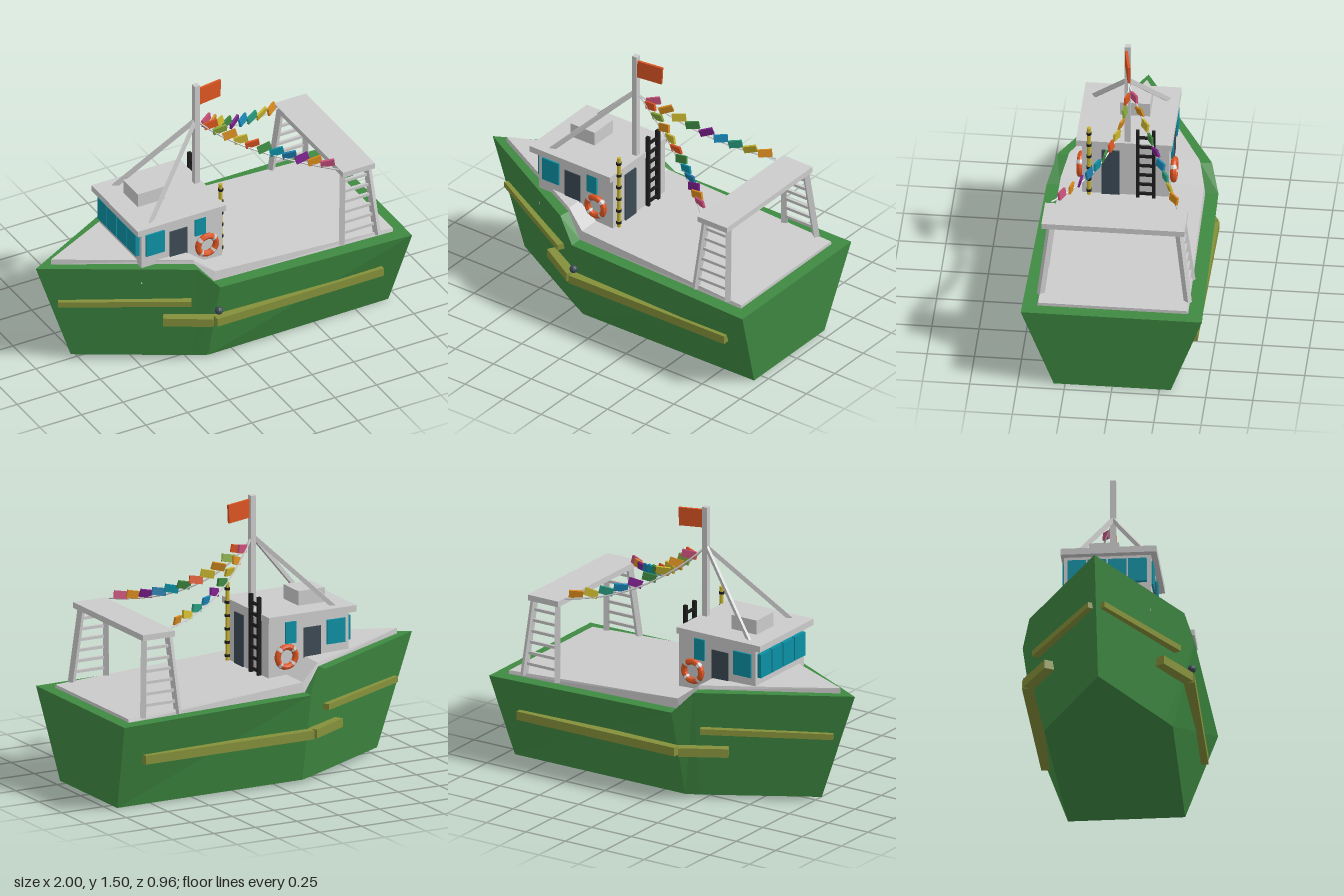
import * as THREE from 'three';

const V = (x, y, z) => new THREE.Vector3(x, y, z);
const mat = (color) => new THREE.MeshStandardMaterial({ color, flatShading: true });
const GREY = mat(0xcccccc), GREEN = mat(0x3f8a42), OLIVE = mat(0x84903a), ORANGE = mat(0xdc5522);
const TEAL = mat(0x0c90a4), SLATE = mat(0x3c4a54), BLACK = mat(0x1c1c1c), YELLOW = mat(0xc8b42e);

function add(parent, name, geo, material, x = 0, y = 0, z = 0) {
  const m = new THREE.Mesh(geo, material);
  m.name = name;
  m.position.set(x, y, z);
  parent.add(m);
  return m;
}

// box given by its min and max corners
function block(parent, name, material, x0, x1, y0, y1, z0, z1) {
  return add(parent, name, new THREE.BoxGeometry(x1 - x0, y1 - y0, z1 - z0), material,
    (x0 + x1) / 2, (y0 + y1) / 2, (z0 + z1) / 2);
}

// square bar from a to b
function beam(parent, name, material, a, b, w, h = w) {
  const m = add(parent, name, new THREE.BoxGeometry(w, h, a.distanceTo(b)), material);
  m.position.copy(a).lerp(b, 0.5);
  m.lookAt(b);
  return m;
}

// half outline (bow, shoulder, knuckle, stern) -> closed ring of seven points
function ring(half) {
  const pts = half.map((p) => V(...p));
  return pts.concat(pts.slice(1).reverse().map((p) => V(p.x, p.y, -p.z)));
}

// skin between successive rings, with optional caps
function loft(rings, capBottom, capTop) {
  const out = [];
  const tri = (...ps) => ps.forEach((p) => out.push(p.x, p.y, p.z));
  for (let r = 0; r + 1 < rings.length; r++) {
    const a = rings[r], b = rings[r + 1], n = a.length;
    for (let i = 0; i < n; i++) {
      const j = (i + 1) % n;
      tri(a[i], a[j], b[j]);
      tri(a[i], b[j], b[i]);
    }
  }
  const faces = [[0, 1, 6], [1, 2, 5], [1, 5, 6], [2, 3, 4], [2, 4, 5]];
  const top = rings[rings.length - 1], bot = rings[0];
  for (const [i, j, k] of faces) {
    if (capTop) tri(top[i], top[j], top[k]);
    if (capBottom) tri(bot[i], bot[k], bot[j]);
  }
  const g = new THREE.BufferGeometry();
  g.setAttribute('position', new THREE.Float32BufferAttribute(out, 3));
  g.computeVertexNormals();
  return g;
}

function hull(boat) {
  const keel = ring([[-0.79, 0.03, 0], [-0.22, 0.02, 0.306], [-0.15, 0.02, 0.34], [0.95, 0.005, 0.31]]);
  const rail = ring([[-1, 0.637, 0], [-0.25, 0.63, 0.41], [-0.14, 0.51, 0.455], [1, 0.49, 0.48]]);
  const inner = ring([[-0.91, 0.637, 0], [-0.24, 0.63, 0.35], [-0.14, 0.51, 0.385], [0.93, 0.49, 0.4]]);
  const deck = ring([[-0.91, 0.667, 0], [-0.24, 0.65, 0.345], [-0.13, 0.565, 0.38], [0.93, 0.508, 0.395]]);
  add(boat, 'hull', loft([keel, rail, inner], true, false), GREEN);
  add(boat, 'deck', loft([inner, deck], false, true), GREY);

  // rubbing strakes on both sides
  for (const s of [1, -1]) {
    const knee = V(-0.16, 0.292, 0.42 * s);
    beam(boat, 'lowerStrake', OLIVE, knee, V(0.85, 0.284, 0.405 * s), 0.075, 0.048);
    beam(boat, 'lowerStrakeBow', OLIVE, knee, V(-0.39, 0.292, 0.285 * s), 0.07, 0.048);
    beam(boat, 'upperStrake', OLIVE, V(-0.88, 0.4, 0.025 * s), V(-0.27, 0.412, 0.375 * s), 0.045, 0.032);
  }
  add(boat, 'porthole', new THREE.SphereGeometry(0.022, 12, 8), SLATE, -0.14, 0.355, 0.44);
}

function lifebuoy(parent, x, y, z) {
  const g = new THREE.Group();
  g.name = 'lifebuoy';
  g.position.set(x, y, z);
  add(g, 'buoyRing', new THREE.TorusGeometry(0.054, 0.017, 8, 24), ORANGE);
  for (let i = 0; i < 4; i++) {
    const band = add(g, 'buoyBand', new THREE.TorusGeometry(0.054, 0.0185, 8, 3, 0.3), GREY);
    band.rotation.z = i * Math.PI / 2 + Math.PI / 4 - 0.15;
  }
  parent.add(g);
}

function cabin(boat) {
  const g = new THREE.Group();
  g.name = 'cabin';
  boat.add(g);
  const zc = 0.025;
  block(g, 'cabinWalls', GREY, -0.505, -0.02, 0.53, 0.87, -0.205, 0.255);
  block(g, 'cabinRoof', GREY, -0.545, -0.015, 0.858, 0.893, -0.22, 0.288);
  block(g, 'roofBox', GREY, -0.43, -0.27, 0.89, 0.972, -0.08, 0.08);

  // side windows, side doors and lifebuoys
  for (const s of [1, -1]) {
    const z = zc + 0.23 * s;
    block(g, 'sideWindow', TEAL, -0.48, -0.37, 0.7, 0.832, z - 0.01, z + 0.01);
    block(g, 'smallWindow', TEAL, -0.185, -0.122, 0.735, 0.852, z - 0.01, z + 0.01);
    block(g, 'sideDoor', SLATE, -0.335, -0.232, 0.6, 0.808, z - 0.006, z + 0.006);
    lifebuoy(g, -0.12, 0.668, z + 0.018 * s);
  }
  // four panes across the front
  for (let i = 0; i < 4; i++) {
    const z = -0.185 + i * 0.107;
    block(g, 'frontWindow', TEAL, -0.528, -0.5, 0.7, 0.832, z, z + 0.098);
  }
  block(g, 'rearDoor', SLATE, -0.03, -0.012, 0.55, 0.84, 0.058, 0.152);

  // ladder against the rear wall
  for (const z of [-0.04, -0.125]) block(g, 'ladderRail', BLACK, -0.018, 0.002, 0.55, 0.985, z - 0.009, z + 0.009);
  for (let i = 0; i < 7; i++) {
    const y = 0.58 + i * 0.06;
    block(g, 'ladderRung', BLACK, -0.014, -0.002, y - 0.007, y + 0.007, -0.125, -0.04);
  }
  // banded pole
  add(g, 'pole', new THREE.CylinderGeometry(0.011, 0.011, 0.44, 10), YELLOW, -0.008, 0.765, 0.218);
  for (let i = 0; i < 6; i++)
    add(g, 'poleBand', new THREE.CylinderGeometry(0.0145, 0.0145, 0.014, 10), BLACK, -0.008, 0.585 + i * 0.073, 0.218);
}

function mast(boat) {
  const g = new THREE.Group();
  g.name = 'mast';
  boat.add(g);
  block(g, 'mastPost', GREY, -0.061, -0.03, 0.87, 1.505, 0, 0.031);
  for (const z of [-0.165, 0.235])
    beam(g, 'mastStay', GREY, V(-0.045, 1.285, 0.015), V(-0.44, 0.885, z), 0.014, 0.024);
  const flag = add(g, 'flag', new THREE.BoxGeometry(0.145, 0.1, 0.014), ORANGE, 0.04, 1.43, 0.008);
  flag.rotation.set(0, 0.2, -0.05);
}

// sagging line through a middle point, carrying small flags
function bunting(boat, name, mid, end, yaw, colors) {
  const g = new THREE.Group();
  g.name = name;
  boat.add(g);
  const start = V(-0.035, 1.27, 0.012);
  const ctrl = mid.clone().multiplyScalar(2).addScaledVector(start, -0.5).addScaledVector(end, -0.5);
  const curve = new THREE.QuadraticBezierCurve3(start, ctrl, end);
  add(g, 'line', new THREE.TubeGeometry(curve, 24, 0.005, 5), GREY);
  colors.forEach((c, i) => {
    const p = curve.getPointAt(0.11 + 0.8 * i / (colors.length - 1));
    const f = add(g, 'smallFlag', new THREE.BoxGeometry(0.075, 0.042, 0.012), mat(c), p.x + 0.015, p.y + 0.022, p.z);
    f.rotation.set(0.25 * Math.sin(i * 2.1), yaw + 0.12 * Math.sin(i * 1.7), 0.2);
  });
}

function gantry(boat) {
  const g = new THREE.Group();
  g.name = 'sternGantry';
  boat.add(g);
  block(g, 'gantryTop', GREY, 0.635, 0.828, 0.915, 0.947, -0.37, 0.387);
  for (const s of [1, -1]) {
    const foreTop = V(0.658, 0.92, 0.34 * s), foreFoot = V(0.627, 0.5, 0.39 * s);
    const aftTop = V(0.805, 0.92, 0.34 * s), aftFoot = V(0.838, 0.5, 0.39 * s);
    beam(g, 'gantryLeg', GREY, foreFoot, foreTop, 0.03);
    beam(g, 'gantryLeg', GREY, aftFoot, aftTop, 0.03);
    for (let i = 0; i < 6; i++) {
      const t = 0.16 + i * 0.142;
      beam(g, 'gantryRung', GREY, foreFoot.clone().lerp(foreTop, t), aftFoot.clone().lerp(aftTop, t), 0.016);
    }
  }
}

export function createModel() {
  const boat = new THREE.Group();
  boat.name = 'fishingBoat';
  hull(boat);
  cabin(boat);
  mast(boat);
  gantry(boat);
  bunting(boat, 'leftBunting', V(0.27, 1.035, 0.085), V(0.63, 0.95, 0.355), -0.2,
    [0xdc5522, 0x86a83a, 0xd08a20, 0xc8b42e, 0xdc5522, 0x3f8a42, 0x0c90a4, 0x1a78a8, 0x7a1f8a, 0xd98a1e, 0xc8507a]);
  bunting(boat, 'rightBunting', V(0.27, 1.04, -0.165), V(0.63, 0.95, -0.315), 0.5,
    [0xc8507a, 0xd08a20, 0xc8b42e, 0x3f8a42, 0x7a1f8a, 0x1a88b8, 0x2a9a80, 0xc8b42e, 0xd98a1e]);
  return boat;
}
